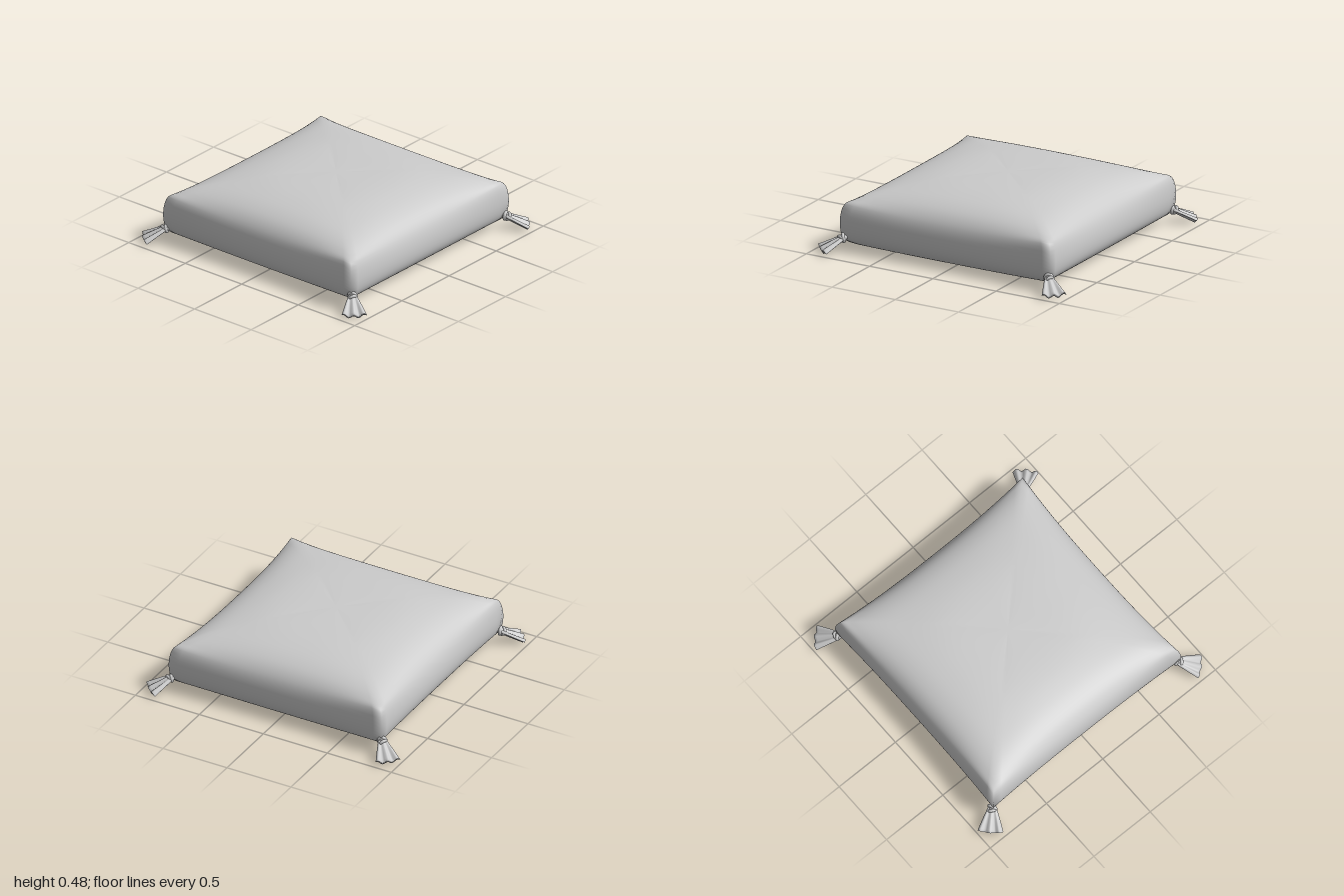
import * as THREE from 'three';
import { mergeVertices } from 'three/addons/utils/BufferGeometryUtils.js';

const material = new THREE.MeshStandardMaterial({ color: 0xcccccc, side: THREE.DoubleSide });

// Surface through closed rings; point(i, j) gives the j-th point of the i-th ring
function loft(rings, sides, point) {
  const positions = [], index = [];
  for (let i = 0; i < rings; i++)
    for (let j = 0; j < sides; j++) positions.push(...point(i, j));
  for (let i = 0; i < rings - 1; i++)
    for (let j = 0; j < sides; j++) {
      const k = (j + 1) % sides;
      const a = i * sides + j, b = a + sides, c = i * sides + k, d = c + sides;
      index.push(a, c, b, c, d, b);
    }
  const geometry = new THREE.BufferGeometry();
  geometry.setAttribute('position', new THREE.Float32BufferAttribute(positions, 3));
  geometry.setIndex(index);
  const merged = mergeVertices(geometry, 1e-5);
  merged.computeVertexNormals();
  return merged;
}

const profile = (points) => new THREE.CatmullRomCurve3(
  points.map(([r, y]) => new THREE.Vector3(r, y, 0)), false, 'centripetal');

// Cushion: square rings, blended from a soft profile mid-side to a pinched one at the corners
function cushionGeometry() {
  const middle = profile([[0, 0.48], [0.33, 0.477], [0.5, 0.46], [0.64, 0.425], [0.73, 0.375],
    [0.785, 0.305], [0.81, 0.2], [0.8, 0.1], [0.76, 0.045], [0.68, 0.02], [0, 0.02]]);
  const corner = profile([[0, 0.48], [0.33, 0.47], [0.53, 0.435], [0.67, 0.4], [0.76, 0.367],
    [0.81, 0.34], [0.834, 0.2], [0.812, 0.09], [0.77, 0.055], [0.68, 0.022], [0, 0.02]]);
  const steps = 50, perSide = 24;
  return loft(steps + 1, perSide * 4, (i, j) => {
    const v = (j % perSide) / perSide * 2 - 1;
    const pinch = Math.abs(v) ** 2.6;
    const p = middle.getPoint(i / steps).lerp(corner.getPoint(i / steps), pinch);
    const turn = Math.floor(j / perSide) * Math.PI / 2;
    const c = Math.round(Math.cos(turn)), s = Math.round(Math.sin(turn));
    return [p.x * (c - s * v), p.y, p.x * (s + c * v)];
  });
}

// Tassel skirt: a flat fan along +z with folds that deepen toward the closed end
function skirtGeometry() {
  const steps = 10, sides = 40, length = 0.17;
  return loft(steps + 2, sides, (i, j) => {
    const t = Math.min(i / steps, 1), shrink = i > steps ? 0 : 1;
    const angle = j / sides * Math.PI * 2, across = Math.cos(angle);
    const width = 0.018 + 0.07 * t ** 0.9;
    const fold = 0.013 * t * Math.cos(across * Math.PI * 2.6 + 0.5);
    return [
      width * across,
      (0.019 - 0.007 * t) * Math.sin(angle) * shrink + fold,
      -0.03 + (length + 0.03) * t - 0.012 * t * across * across,
    ];
  });
}

export function createModel() {
  const model = new THREE.Group();
  const add = (parent, geometry, name) => {
    const mesh = new THREE.Mesh(geometry, material);
    mesh.name = name;
    parent.add(mesh);
    return mesh;
  };

  add(model, cushionGeometry(), 'cushion');

  // One tassel at each lower corner, pointing outward and drooping to the floor
  const skirt = skirtGeometry();
  const cord = new THREE.TorusGeometry(0.023, 0.011, 10, 24);
  const core = new THREE.SphereGeometry(0.025, 16, 12);
  for (const sx of [1, -1])
    for (const sz of [1, -1]) {
      const tassel = new THREE.Group();
      tassel.name = 'tassel';
      tassel.position.set(sx * 0.815, 0.1, sz * 0.826);
      tassel.rotation.set(0.45, Math.atan2(sx, sz), 0, 'YXZ');
      add(tassel, skirt, 'skirt');
      add(tassel, core, 'knotCore').position.z = -0.005;
      // Two crossed wraps of cord form the knot
      const wrapA = add(tassel, cord, 'knotWrap');
      wrapA.position.z = 0.012;
      wrapA.rotation.set(0.15, 0.3, 0);
      const wrapB = add(tassel, cord, 'knotWrap');
      wrapB.position.z = -0.006;
      wrapB.rotation.set(-0.3, -0.35, 0);
      wrapB.scale.setScalar(1.1);
      model.add(tassel);
    }
  return model;
}
